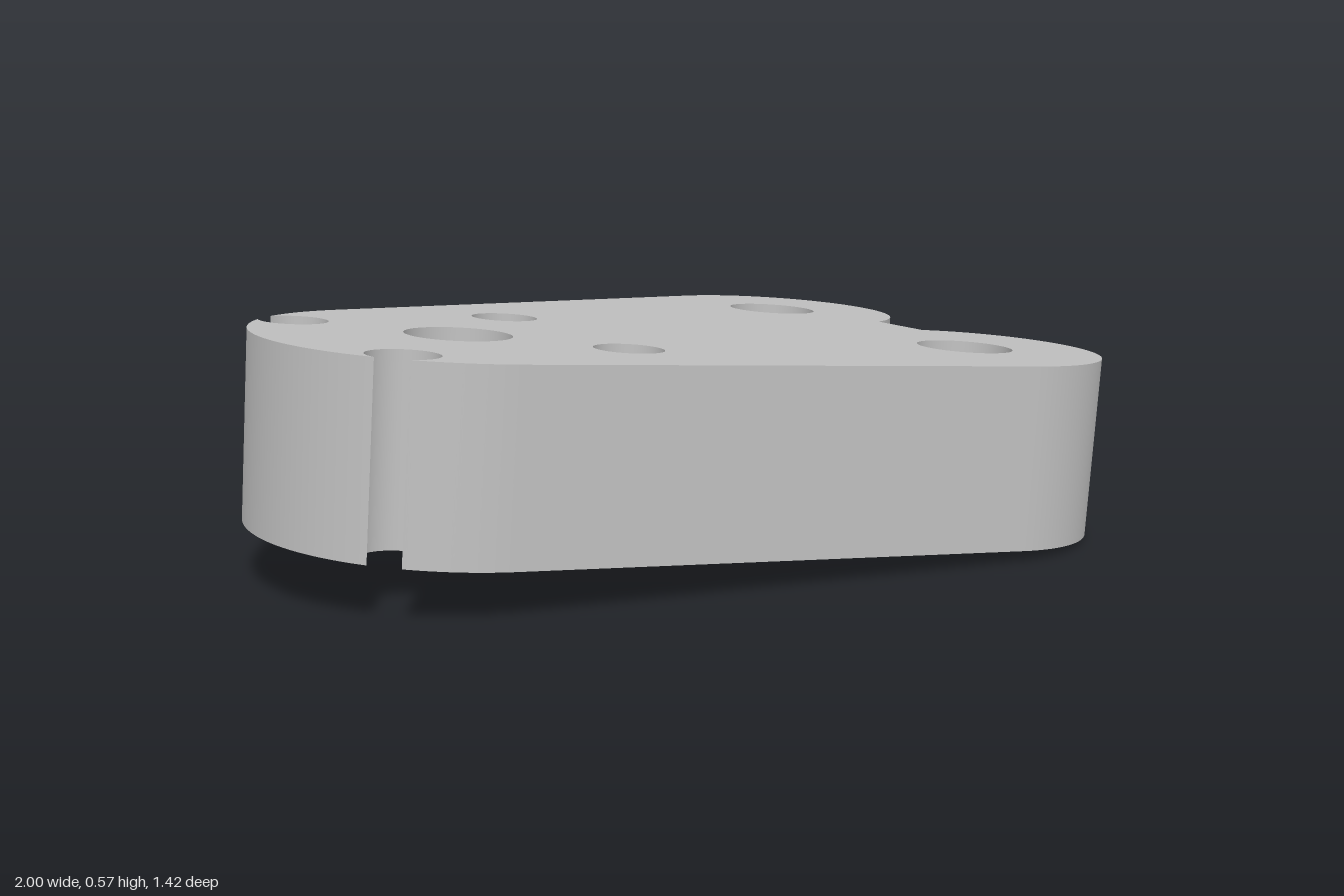
import * as THREE from 'three';
import { toCreasedNormals } from 'three/addons/utils/BufferGeometryUtils.js';

const TILT = 0.071, THICK = 0.431;
const HUB = { x: -0.517, r: 0.47 };            // rounded narrow end
const LOBE = { x: 0.661, z: 0.385, r: 0.326 }; // two rounded feet of the plate
const NOTCH_X = 0.594;                         // inner corner between the lobes
const SIDE = { d: 0.398, r: 0.08 };            // holes that break through the rim

function plateShape() {
  const s = new THREE.Shape();
  // Shared tangent direction of hub and lobe
  const dx = LOBE.x - HUB.x;
  const dist = Math.hypot(dx, LOBE.z);
  const side = Math.atan2(LOBE.z, dx) + Math.acos((HUB.r - LOBE.r) / dist);
  // Tangent direction from the inner corner to the lobe
  const nx = NOTCH_X - LOBE.x;
  const inner = Math.atan2(-LOBE.z, nx) + Math.acos(LOBE.r / Math.hypot(nx, LOBE.z));
  // Where a side hole cuts the hub rim
  const a = (SIDE.d ** 2 + HUB.r ** 2 - SIDE.r ** 2) / (2 * SIDE.d);
  const h = Math.sqrt(HUB.r ** 2 - a * a);
  const gap = Math.atan2(h, a), open = Math.atan2(h, a - SIDE.d);
  const q1 = Math.PI * 0.75, q2 = Math.PI * 1.25;
  const bite = (q) => s.absarc(HUB.x + SIDE.d * Math.cos(q), SIDE.d * Math.sin(q),
    SIDE.r, q - open, q + open, true);

  s.moveTo(NOTCH_X, 0);
  s.absarc(LOBE.x, LOBE.z, LOBE.r, inner, side, false);
  s.absarc(HUB.x, 0, HUB.r, side, q1 - gap, false);
  bite(q1);
  s.absarc(HUB.x, 0, HUB.r, q1 + gap, q2 - gap, false);
  bite(q2);
  s.absarc(HUB.x, 0, HUB.r, q2 + gap, 2 * Math.PI - side, false);
  s.absarc(LOBE.x, -LOBE.z, LOBE.r, -side, -inner, false);
  s.closePath();

  // Through holes: x, z, radius
  const holes = [[HUB.x - 0.005, 0, 0.123]];
  for (const m of [1, -1]) holes.push([LOBE.x, m * LOBE.z, 0.115], [-0.246, m * 0.28, 0.08]);
  for (const [x, z, r] of holes) {
    s.holes.push(new THREE.Path().absarc(x, z, r, 0, Math.PI * 2, true));
  }
  return s;
}

export function createModel() {
  const grey = new THREE.MeshStandardMaterial({ color: 0xbfbfbf });
  grey.name = 'plain grey';

  let geo = new THREE.ExtrudeGeometry(plateShape(), {
    depth: THICK, bevelEnabled: false, curveSegments: 40,
  });
  geo.translate(0, 0, -THICK / 2);
  geo.rotateX(-Math.PI / 2);
  // Enlarged while smoothing so close vertices stay distinct
  geo.scale(100, 100, 100);
  geo = toCreasedNormals(geo, 0.5);
  geo.scale(0.01, 0.01, 0.01);

  const plate = new THREE.Mesh(geo, grey);
  plate.name = 'drilledPlate';
  plate.rotation.z = -TILT;
  plate.position.y = 0.285;

  const group = new THREE.Group();
  group.name = 'mountingBlock';
  group.add(plate);
  return group;
}
